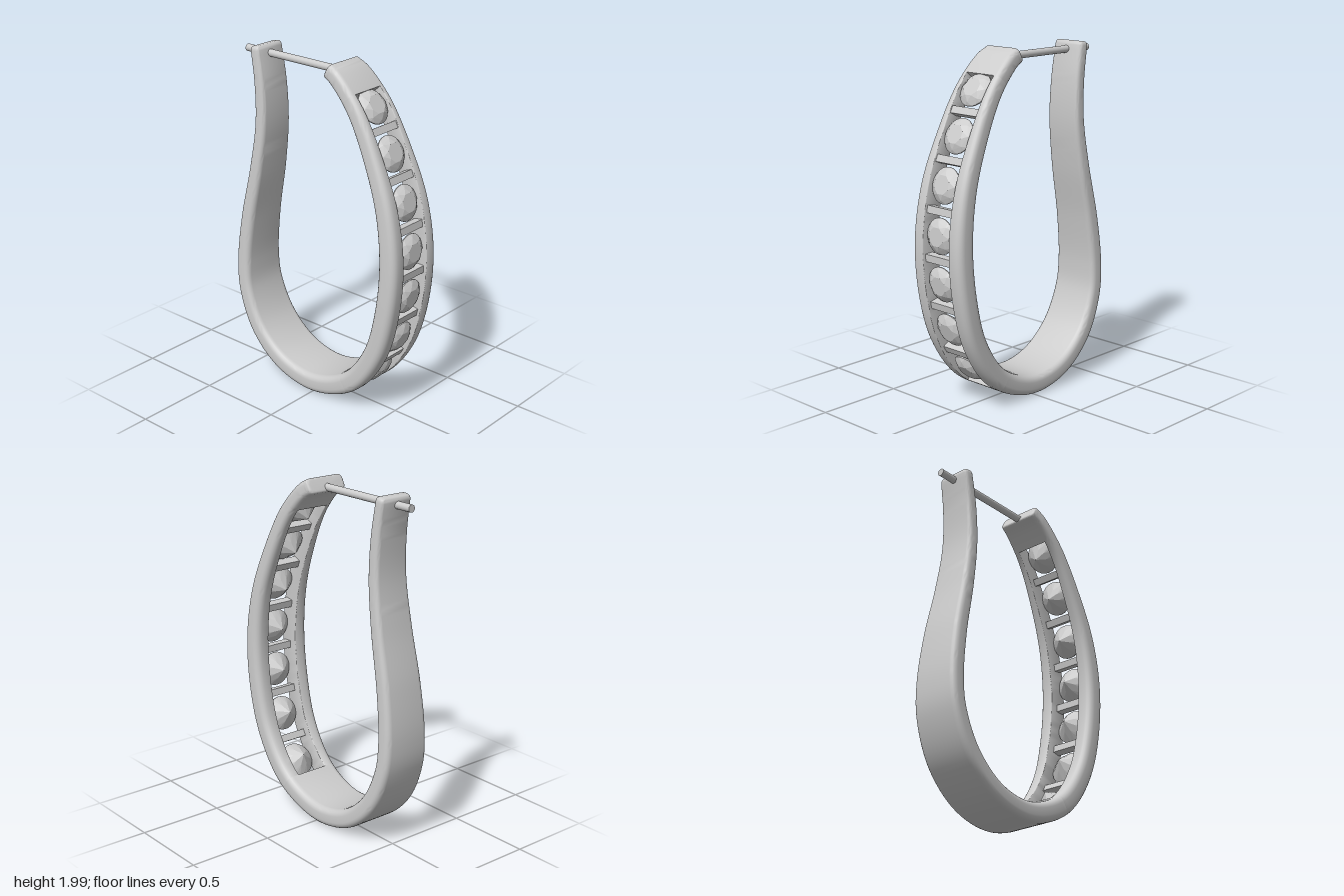
import * as THREE from 'three';
import { toCreasedNormals } from 'three/addons/utils/BufferGeometryUtils.js';
import { ConvexGeometry } from 'three/addons/geometries/ConvexGeometry.js';

// Band stations from the front tip, under the bottom, to the back tip: z, y, thickness, half width
const STATIONS = [
  [0.08, 1.955, 0.09, 0.125], [0.15, 1.915, 0.092, 0.135], [0.285, 1.77, 0.095, 0.147],
  [0.415, 1.53, 0.1, 0.162], [0.515, 1.265, 0.11, 0.177], [0.556, 0.97, 0.118, 0.187],
  [0.53, 0.665, 0.12, 0.19], [0.455, 0.41, 0.12, 0.186], [0.31, 0.2, 0.12, 0.18],
  [0.14, 0.097, 0.116, 0.173], [-0.055, 0.061, 0.112, 0.167], [-0.27, 0.117, 0.11, 0.163],
  [-0.445, 0.27, 0.104, 0.158], [-0.543, 0.485, 0.097, 0.15], [-0.56, 0.665, 0.098, 0.143],
  [-0.53, 0.945, 0.095, 0.133], [-0.465, 1.265, 0.085, 0.122], [-0.428, 1.54, 0.076, 0.112],
  [-0.435, 1.77, 0.073, 0.106], [-0.467, 1.982, 0.066, 0.102],
];
const path = new THREE.CatmullRomCurve3(STATIONS.map(([z, y]) => new THREE.Vector3(0, y, z)));
const size = new THREE.CatmullRomCurve3(
  STATIONS.map(([, , t, w]) => new THREE.Vector3(t, w, 0)), false, 'catmullrom');
const SLOT = 0.1; // half width of the stone channel

// Position, direction, outward normal and size of the band at parameter u
function frame(u) {
  const p = path.getPoint(u), tan = path.getTangent(u), s = size.getPoint(u);
  return { p, tan, n: new THREE.Vector3(0, tan.z, -tan.y), t: s.x, w: s.y };
}

// Parameter on the front arm where the centre line reaches height y
function atHeight(y) {
  let a = 0, b = 10 / 19;
  for (let i = 0; i < 40; i++) {
    const m = (a + b) / 2;
    if (path.getPoint(m).y > y) a = m; else b = m;
  }
  return a;
}

// Rounded rectangle, counter-clockwise, with its own corner radius on each side
function section(xa, xb, t, ra, rb) {
  const h = t / 2, out = [], steps = 5;
  const corners = [[xb, -1, rb, -90], [xb, 1, rb, 0], [xa, 1, ra, 90], [xa, -1, ra, 180]];
  for (const [x, sy, r, start] of corners) {
    const cx = x + (x === xb ? -r : r), cy = sy * (h - r);
    for (let i = 0; i <= steps; i++) {
      const a = THREE.MathUtils.degToRad(start + 90 * i / steps);
      out.push([cx + r * Math.cos(a), cy + r * Math.sin(a)]);
    }
  }
  return out;
}

// Sweeps a part of the band; side 0 is full width, +1 and -1 are the channel rails
function sweep(u0, u1, side) {
  const us = [], rows = Math.max(12, Math.round((u1 - u0) * 160));
  for (let i = 0; i <= rows; i++) us.push(u0 + (u1 - u0) * i / rows);
  if (u0 === 0) us.splice(1, 0, 0.0006, 0.002, 0.004);
  if (u1 === 1) us.splice(-1, 0, 0.996, 0.998, 0.9994);
  const pos = [], idx = [];
  let count = 0;
  for (const u of us) {
    const { p, n, t, w } = frame(u);
    // soften the two tips
    const d = Math.min(1, Math.min(u, 1 - u) / 0.006);
    const e = 0.016 * (1 - Math.sqrt(1 - (1 - d) ** 2));
    const tt = t - 2 * e, ww = w - e, r = tt * 0.33, k = 0.004;
    const loop = side === 0 ? section(-ww, ww, tt, r, r)
      : side > 0 ? section(SLOT, ww, tt, k, Math.min(r, (ww - SLOT) * 0.8))
        : section(-ww, -SLOT, tt, Math.min(r, (ww - SLOT) * 0.8), k);
    count = loop.length;
    for (const [x, h] of loop) pos.push(x, p.y + n.y * h, p.z + n.z * h);
  }
  for (let i = 0; i < us.length - 1; i++) {
    for (let j = 0; j < count; j++) {
      const a = i * count + j, b = i * count + (j + 1) % count;
      idx.push(a, b, b + count, a, b + count, a + count);
    }
  }
  const last = (us.length - 1) * count;
  for (let j = 1; j < count - 1; j++) {
    idx.push(0, j + 1, j, last, last + j, last + j + 1);
  }
  const g = new THREE.BufferGeometry();
  g.setAttribute('position', new THREE.Float32BufferAttribute(pos, 3));
  g.setIndex(idx);
  return toCreasedNormals(g, 0.7);
}

// Faceted round stone, table towards +z
function stoneGeometry() {
  const pts = [new THREE.Vector3(0, 0, -0.085)];
  const ring = (n, r, z, turn) => {
    for (let i = 0; i < n; i++) {
      const a = (i + turn) / n * Math.PI * 2;
      pts.push(new THREE.Vector3(r * Math.cos(a), r * Math.sin(a), z));
    }
  };
  ring(8, 0.055, 0.036, 0.5);
  ring(8, 0.083, 0.021, 0);
  ring(24, 0.101, 0.003, 0);
  ring(24, 0.101, -0.003, 0);
  ring(8, 0.052, -0.046, 0.5);
  return new ConvexGeometry(pts);
}

export function createModel() {
  const model = new THREE.Group();
  model.name = 'hoopEarring';
  const metal = new THREE.MeshStandardMaterial({ color: 0xcccccc });
  const facets = new THREE.MeshStandardMaterial({ color: 0xcccccc, flatShading: true });
  const add = (name, geometry, material = metal) => {
    const mesh = new THREE.Mesh(geometry, material);
    mesh.name = name;
    model.add(mesh);
    return mesh;
  };
  // Seats a mesh on the band, its z axis pointing outward
  const seat = (mesh, y, offset) => {
    const { p, tan, n } = frame(atHeight(y));
    mesh.position.copy(p).addScaledVector(n, offset);
    mesh.quaternion.setFromRotationMatrix(new THREE.Matrix4().makeBasis(
      new THREE.Vector3(1, 0, 0), tan.clone().negate(), n));
  };

  // Band: solid tip, two rails beside the open channel, solid bottom and back
  const top = atHeight(1.83), bottom = atHeight(0.155);
  add('frontTip', sweep(0, top, 0));
  add('leftRail', sweep(top, bottom, 1));
  add('rightRail', sweep(top, bottom, -1));
  add('backBand', sweep(bottom, 1, 0));

  // Stones and the bars between them
  const stone = stoneGeometry();
  for (const y of [1.765, 1.535, 1.285, 1.02, 0.755, 0.49, 0.24]) {
    seat(add('stone', stone, facets), y, 0.022);
  }
  const bar = new THREE.BoxGeometry(2 * SLOT + 0.02, 0.042, 0.05);
  for (const y of [1.655, 1.41, 1.15, 0.89, 0.622, 0.355]) {
    seat(add('channelBar', bar), y, 0.015);
  }

  // Post through the back tip
  const post = add('post', new THREE.CylinderGeometry(0.021, 0.021, 0.69, 24));
  post.rotation.x = Math.PI / 2;
  post.position.set(-0.005, 1.935, -0.255);
  return model;
}
